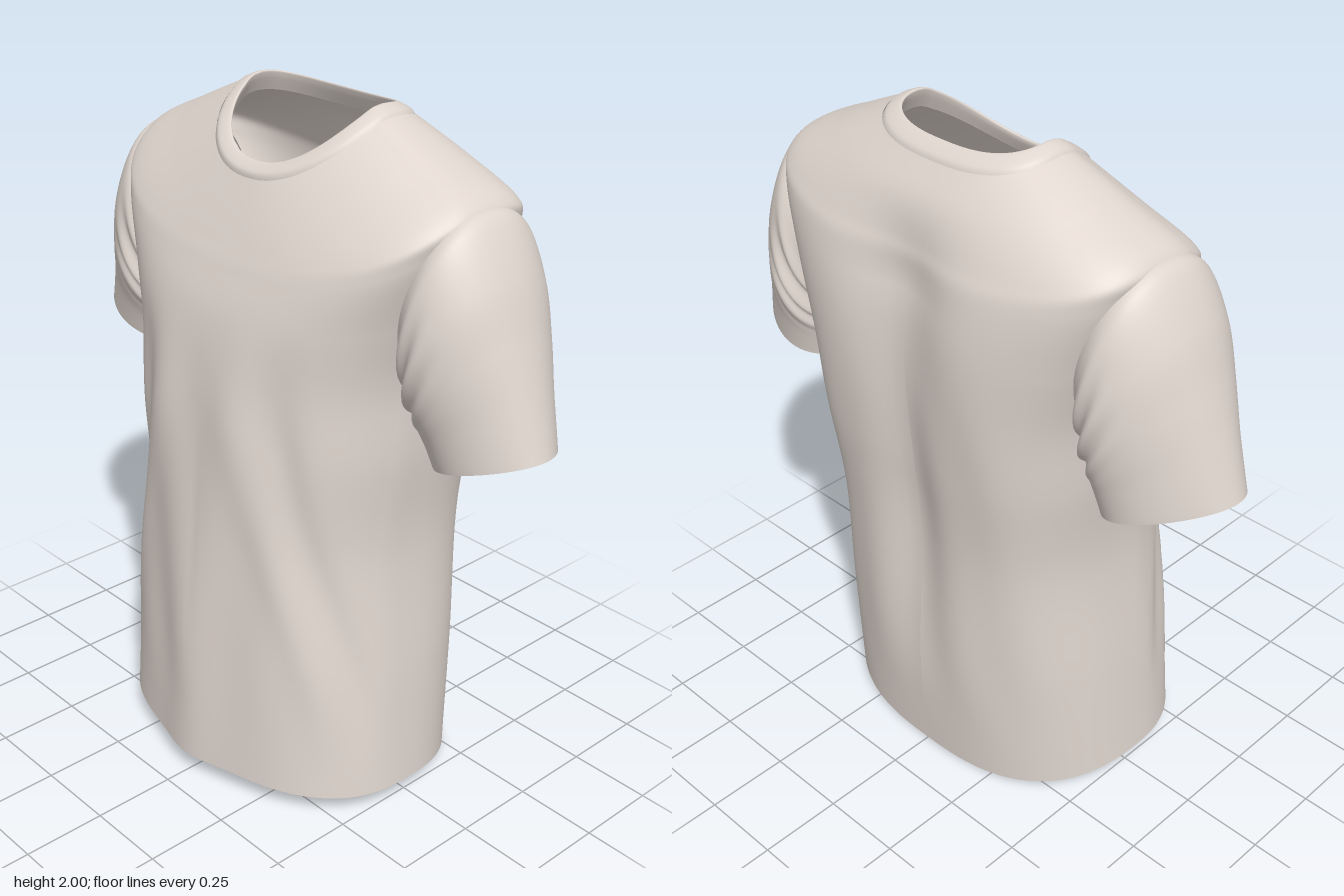
import * as THREE from 'three';
import { ParametricGeometry } from 'three/addons/geometries/ParametricGeometry.js';

const { smoothstep, lerp } = THREE.MathUtils;
const power = (v, p) => Math.sign(v) * Math.pow(Math.abs(v), p);
const bump = (d, width) => Math.exp(-((d / width) ** 2));

// Smooth interpolation of a table of cross-section keys
function track(keys) {
  const curves = keys[0].map((_, c) =>
    new THREE.SplineCurve(keys.map((k, i) => new THREE.Vector2(i, k[c]))));
  return (t) => curves.map((curve) => curve.getPoint(t).y);
}

// Body rings: half width, side z, front z, back z, side y, front y, back y, front and back roundness
const bodyAt = track([
  [0.525, 0.03, 0.402, -0.36, 0.06, 0.07, 0.0, 0.86, 0.85],
  [0.5, 0.01, 0.39, -0.39, 0.4, 0.4, 0.4, 0.86, 0.8],
  [0.465, -0.02, 0.377, -0.418, 0.8, 0.8, 0.8, 0.86, 0.75],
  [0.485, -0.05, 0.364, -0.447, 1.1, 1.1, 1.1, 0.84, 0.7],
  [0.497, -0.08, 0.343, -0.459, 1.32, 1.3, 1.32, 0.8, 0.66],
  [0.545, -0.1, 0.314, -0.453, 1.52, 1.46, 1.52, 0.75, 0.63],
  [0.612, -0.1, 0.271, -0.425, 1.74, 1.58, 1.67, 0.72, 0.62],
  [0.607, -0.1, 0.244, -0.395, 1.82, 1.64, 1.74, 0.74, 0.64],
  [0.45, -0.1, 0.205, -0.345, 1.9, 1.72, 1.84, 0.82, 0.7],
  [0.285, -0.1, 0.162, -0.28, 1.976, 1.802, 1.93, 0.9, 0.75],
]);

// Collar rings: seam, rim, neck opening, inner facing
const collarAt = track([
  [0.286, -0.1, 0.161, -0.28, 1.971, 1.797, 1.926, 0.9, 0.75],
  [0.272, -0.1, 0.157, -0.27, 1.988, 1.82, 1.946, 0.9, 0.75],
  [0.238, -0.1, 0.129, -0.235, 2.0, 1.842, 1.97, 0.9, 0.75],
  [0.238, -0.1, 0.124, -0.235, 1.985, 1.83, 1.955, 0.9, 0.75],
  [0.26, -0.1, 0.14, -0.255, 1.94, 1.79, 1.91, 0.9, 0.75],
]);

function ringPoint([w, zc, zF, zB, yS, yF, yB, roundF, roundB], a, out) {
  const c = Math.cos(a), s = Math.sin(a);
  const p = s > 0 ? lerp(roundB, roundF, Math.min(1, s * 4)) : roundB;
  const z = zc + (s > 0 ? zF - zc : zc - zB) * power(s, p);
  const y = yS + ((s > 0 ? yF : yB) - yS) * Math.pow(Math.abs(s), 1.4);
  return out.set(w * power(c, s > 0 ? p : 0.75), y, z);
}

// Body surface with a spine hollow and draped folds
function bodyPoint(a, t, out) {
  ringPoint(bodyAt(t), a, out);
  const { x, y } = out, s = Math.sin(a);
  const angle = Math.atan2(s, Math.abs(Math.cos(a)));
  const drape = smoothstep(y, 0.1, 0.5) * (1 - smoothstep(y, 1.1, 1.5));
  if (s < 0) {
    const spine = smoothstep(y, 0.2, 1.0) * (1 - smoothstep(y, 1.6, 1.88));
    out.z += 0.065 * bump(x, 0.16) * spine;
    out.z += 0.006 * Math.sin(Math.abs(x) * 24 + y * 2) * drape * s * s;
  } else {
    const crease = lerp(0.35, 1.1, smoothstep(y, 0.2, 1.4));
    const dent = smoothstep(s, 0, 0.3) *
      (0.014 * bump(angle - crease, 0.15) - 0.01 * bump(angle - crease - 0.28, 0.16));
    out.x *= 1 - dent * drape;
    out.z -= (dent + 0.005 * Math.sin(Math.abs(x) * 22 - y * 4) * s * s) * drape;
    // Ridge where the front hangs forward
    out.z += 0.03 * bump(x, 0.12) * (1 - smoothstep(y, 0.3, 1.2));
  }
  return out;
}

// Sleeve rings: top x, top y, bottom x, bottom y, centre z, half depth
const sleeveAt = track([
  [0.585, 1.81, 0.44, 1.42, -0.1, 0.18],
  [0.652, 1.79, 0.48, 1.34, -0.097, 0.228],
  [0.73, 1.66, 0.495, 1.26, -0.096, 0.235],
  [0.784, 1.51, 0.51, 1.2, -0.098, 0.218],
  [0.833, 1.36, 0.52, 1.15, -0.1, 0.19],
  [0.88, 1.21, 0.53, 1.1, -0.1, 0.17],
]);

function sleevePoint(side, a, t, out, inset = 0) {
  const [tx, ty, bx, by, zc, d] = sleeveAt(t);
  const c = Math.cos(a), s = Math.sin(a);
  // Gathered folds towards the armpit
  const gather = smoothstep(t, 0.12, 0.3) * (1 - smoothstep(t, 0.4, 0.75)) * smoothstep(-c, -0.5, 0.5);
  const k = 1 - inset + 0.045 * gather * Math.sin(t * 36 + c * 3);
  const egg = 1 - 0.22 * c * t;
  return out.set(
    side * ((tx + bx) / 2 + ((tx - bx) / 2) * c * k),
    (ty + by) / 2 + ((ty - by) / 2) * c * k,
    zc + d * power(s, lerp(0.8, 1, t)) * egg * k + 0.025 * c * t);
}

// Opens the body where the sleeves join
function cutArmholes(geometry) {
  const pos = geometry.attributes.position, index = geometry.index.array, kept = [];
  const inArmhole = (i) => Math.abs(pos.getX(i)) > 0.4 &&
    Math.hypot((pos.getY(i) - 1.6) / 0.165, (pos.getZ(i) + 0.1) / 0.15) < 1;
  for (let i = 0; i < index.length; i += 3) {
    const face = index.slice(i, i + 3);
    if (!face.every(inArmhole)) kept.push(...face);
  }
  geometry.setIndex(kept);
}

export function createModel() {
  const shirt = new THREE.Group();
  shirt.name = 'shirt';
  const cloth = new THREE.MeshStandardMaterial({ color: 0xdfd5ce, side: THREE.DoubleSide });
  cloth.name = 'warm grey cloth';

  const add = (name, fn, slices, stacks) => {
    const mesh = new THREE.Mesh(new ParametricGeometry(fn, slices, stacks), cloth);
    mesh.name = name;
    shirt.add(mesh);
    return mesh;
  };
  const turn = Math.PI * 2;
  const around = (u) => -turn * (u + 0.25);

  const body = add('body', (u, v, p) => bodyPoint(around(u), v, p), 144, 110);
  cutArmholes(body.geometry);
  add('collar', (u, v, p) => ringPoint(collarAt(v), around(u), p), 96, 24);

  for (const [side, label] of [[1, 'left'], [-1, 'right']]) {
    add(label + 'Sleeve', (u, v, p) => sleevePoint(side, side * turn * u, v, p), 72, 64);
    // Turned-in cuff
    add(label + 'CuffFacing', (u, v, p) =>
      sleevePoint(side, side * turn * u, 1 - 0.08 * v, p, 0.03 * v), 72, 2);
  }
  return shirt;
}
